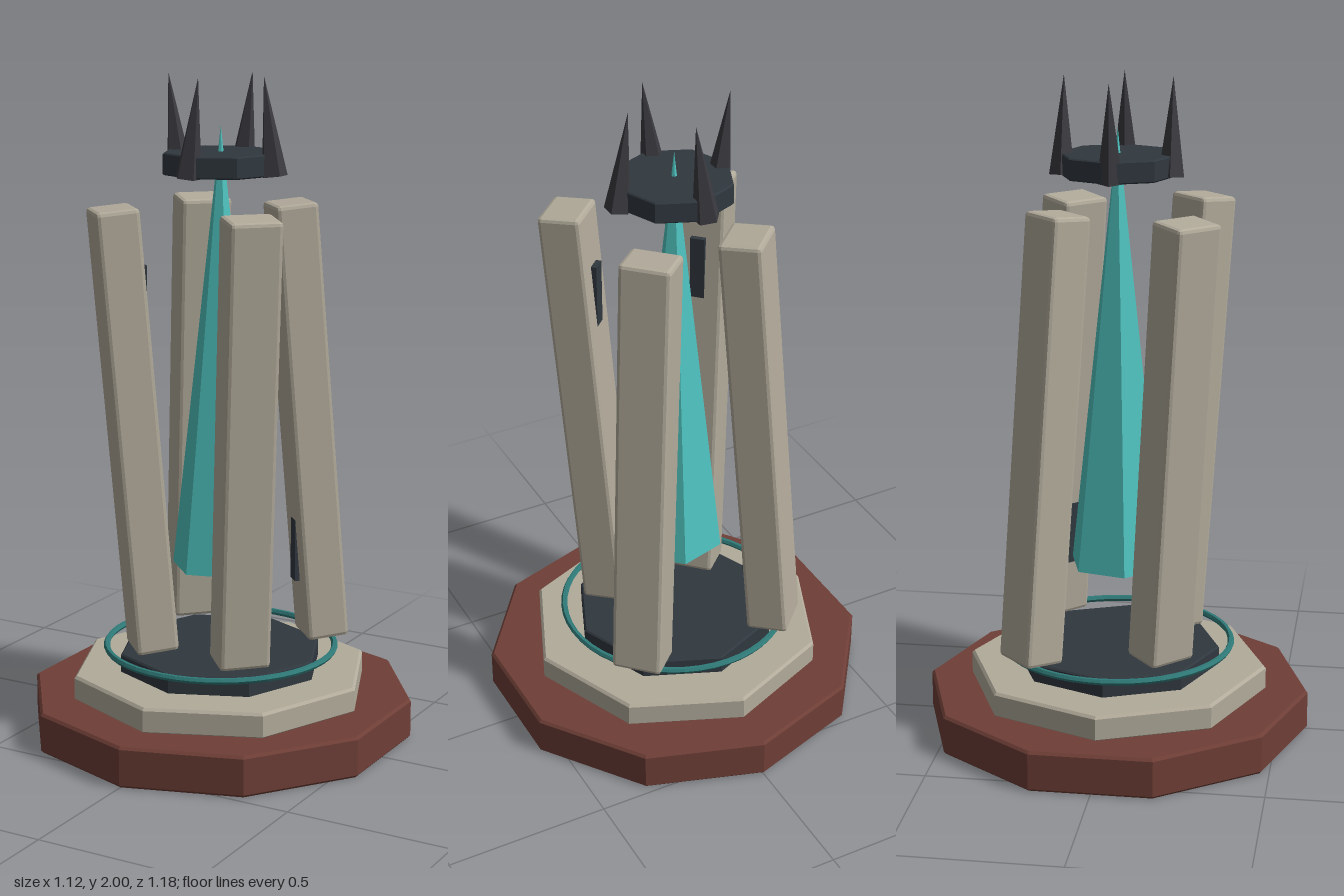
import * as THREE from 'three';
import { RoundedBoxGeometry } from 'three/addons/geometries/RoundedBoxGeometry.js';

const mat = (color) => new THREE.MeshStandardMaterial({ color, flatShading: true });
const brown = mat(0x6e3e36);
const stone = mat(0xb2ab9b);
const slate = mat(0x30383f);
const iron = mat(0x3a3a40);
const teal = mat(0x4fc4c0);
const darkTeal = mat(0x2f7a78);

function add(parent, name, geometry, material, x = 0, y = 0, z = 0) {
  const mesh = new THREE.Mesh(geometry, material);
  mesh.name = name;
  mesh.position.set(x, y, z);
  parent.add(mesh);
  return mesh;
}

// Polygonal slab with small chamfers, a corner facing +z
function slab(radius, y0, y1, sides, c = 0.008) {
  const profile = [
    [0, y0], [radius - c, y0], [radius, y0 + c],
    [radius, y1 - c], [radius - c, y1], [0, y1],
  ].map(([x, y]) => new THREE.Vector2(x, y));
  return new THREE.LatheGeometry(profile, sides);
}

export function createModel() {
  const model = new THREE.Group();
  model.name = 'crystalMonument';

  // Stepped base
  add(model, 'basePlinth', slab(0.59, 0, 0.125, 10), brown);
  add(model, 'stoneStep', slab(0.46, 0.12, 0.2, 8), stone);
  add(model, 'darkStep', slab(0.315, 0.195, 0.257, 8, 0.005), slate);
  const ring = add(model, 'glowRing', new THREE.TorusGeometry(0.35, 0.01, 6, 48), darkTeal, 0, 0.265, 0);
  ring.rotation.x = Math.PI / 2;

  // Four pillars: the front pair leans outward, the back pair inward
  const pillarShape = new RoundedBoxGeometry(0.155, 1.35, 0.13, 1, 0.012);
  const slitShape = new THREE.BoxGeometry(0.045, 1.0, 0.02);
  for (let i = 0; i < 4; i++) {
    const angle = Math.PI / 4 + (i * Math.PI) / 2;
    const lean = Math.cos(angle) > 0 ? 0.083 : -0.083;
    const corner = new THREE.Group();
    corner.name = 'pillarGroup';
    corner.rotation.y = angle;
    model.add(corner);
    add(corner, 'pillar', pillarShape, stone, 0, 0.947, 0.27).rotation.x = lean;
    // Upright inlay that breaks through the inner face at one end
    add(corner, 'pillarInlay', slitShape, slate, 0, 0.95, 0.24);
  }

  // Floating crystal
  const crystal = add(model, 'crystal', new THREE.ConeGeometry(0.15, 1.335, 6), teal, 0, 1.183, 0);
  crystal.rotation.y = 0.8;

  // Crown disc with four tilted spikes
  add(model, 'crownDisc', slab(0.175, 1.71, 1.775, 8, 0.004), slate);
  const spikeShape = new THREE.ConeGeometry(0.04, 0.29, 5, 1, false, -Math.PI / 2);
  for (let i = 0; i < 4; i++) {
    const a = (i * Math.PI) / 2;
    const spike = add(model, 'crownSpike', spikeShape, iron, 0.16 * Math.sin(a), 1.855, 0.16 * Math.cos(a));
    spike.rotation.z = i % 2 ? 0.12 : -0.12;
  }
  return model;
}
